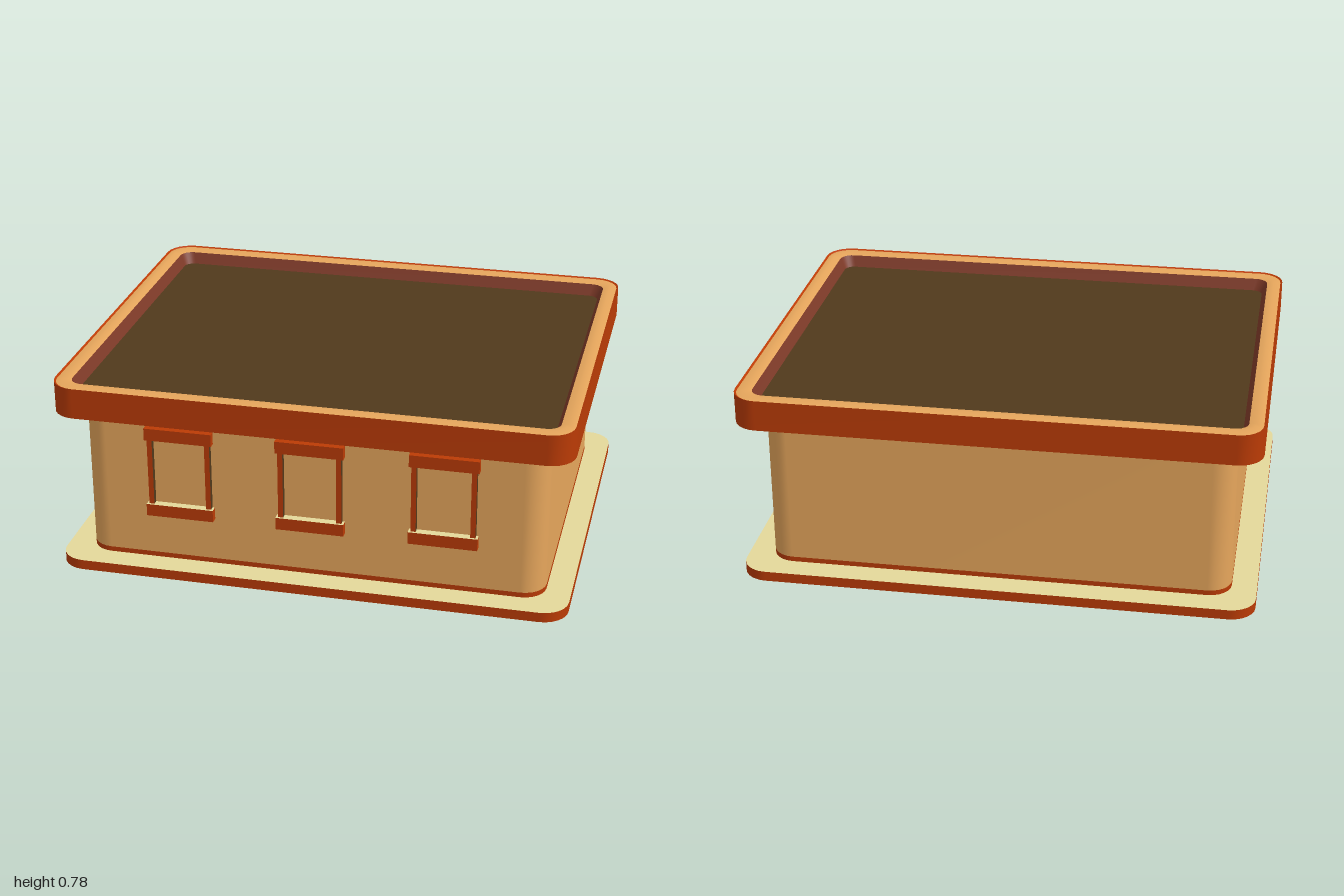
import * as THREE from 'three';

const flat = (name, color, side = THREE.FrontSide) => {
  const m = new THREE.MeshStandardMaterial({ color, side });
  m.name = name;
  return m;
};

// Rounded rectangle, counterclockwise from above: half width, half depth, radius, height
function loop(w, d, r, y, steps = 6) {
  const pts = [];
  for (let c = 0; c < 4; c++) {
    const sx = c === 0 || c === 3 ? 1 : -1;
    const sz = c < 2 ? -1 : 1;
    for (let i = 0; i <= steps; i++) {
      const a = (c + i / steps) * Math.PI / 2;
      pts.push([sx * (w - r) + r * Math.cos(a), y, sz * (d - r) - r * Math.sin(a)]);
    }
  }
  return pts;
}

// Smooth closed skin through a series of loops
function loft(...loops) {
  const n = loops[0].length, index = [];
  for (let k = 0; k < loops.length - 1; k++) {
    for (let i = 0; i < n; i++) {
      const j = (i + 1) % n, a = k * n, b = a + n;
      index.push(a + i, a + j, b + j, a + i, b + j, b + i);
    }
  }
  const g = new THREE.BufferGeometry();
  g.setAttribute('position', new THREE.Float32BufferAttribute(loops.flat(2), 3));
  g.setIndex(index);
  g.computeVertexNormals();
  return g;
}

export function createModel() {
  const rust = flat('rust trim', 0xbb3b05, THREE.DoubleSide);
  const tan = flat('tan wall', 0xe6a65c);
  const brown = flat('dark brown roof', 0x51391b);
  const pale = flat('pale stone', 0xe4d89a, THREE.DoubleSide);
  const maroon = flat('maroon parapet', 0x7e3a28);

  const model = new THREE.Group();
  model.name = 'building';

  const add = (parent, name, geometry, material) => {
    const mesh = new THREE.Mesh(geometry, material);
    mesh.name = name;
    parent.add(mesh);
    return mesh;
  };

  // Horizontal outlines
  const centre = y => loop(0, 0, 0, y);
  const outer = y => loop(1, 0.803, 0.1, y);
  const wall = y => loop(0.903, 0.705, 0.09, y);
  const lip = loop(0.992, 0.795, 0.092, 0.771);
  const crest = loop(0.964, 0.767, 0.07, 0.776);
  const rim = loop(0.937, 0.737, 0.05, 0.769);
  const floor = loop(0.916, 0.716, 0.04, 0.724);

  // Base: a thin floor sheet inside an edge band, hollow underneath
  add(model, 'baseEdge', loft(outer(0), outer(0.04)), rust);
  add(model, 'baseFloor', loft(outer(0.04), centre(0.04)), pale);

  // Walls with a thin skirting
  add(model, 'skirting', loft(wall(0.04), wall(0.06)), rust);
  add(model, 'walls', loft(wall(0.06), wall(0.653)), tan);

  // Overhanging cornice, softly crowned rim and sunken roof
  add(model, 'corniceUnderside', loft(wall(0.653), outer(0.653)), brown);
  add(model, 'corniceEdge', loft(outer(0.653), outer(0.775)), rust);
  add(model, 'corniceLip', loft(outer(0.775), lip), rust);
  add(model, 'parapetRim', loft(lip, crest, rim), tan);
  add(model, 'parapetInside', loft(rim, floor), maroon);
  add(model, 'roof', loft(floor, centre(0.724)), brown);

  // Three window frames on the front wall
  const jambMaterials = [brown, brown, rust, rust, rust, rust];
  const sillMaterials = [rust, rust, pale, rust, rust, rust];
  const frameBox = (group, name, x, y0, y1, width, front, material) => {
    const depth = front - 0.69;
    const box = new THREE.BoxGeometry(width, y1 - y0, depth);
    add(group, name, box, material).position.set(x, (y0 + y1) / 2, 0.69 + depth / 2);
  };
  for (const x of [-0.514, 0.001, 0.516]) {
    const frame = new THREE.Group();
    frame.name = 'windowFrame';
    frame.position.x = x;
    frameBox(frame, 'lintel', 0, 0.556, 0.605, 0.266, 0.732, rust);
    frameBox(frame, 'sill', 0, 0.235, 0.284, 0.266, 0.736, sillMaterials);
    for (const side of [-1, 1]) {
      frameBox(frame, 'jamb', side * 0.114, 0.284, 0.556, 0.02, 0.727, jambMaterials);
    }
    model.add(frame);
  }
  return model;
}
